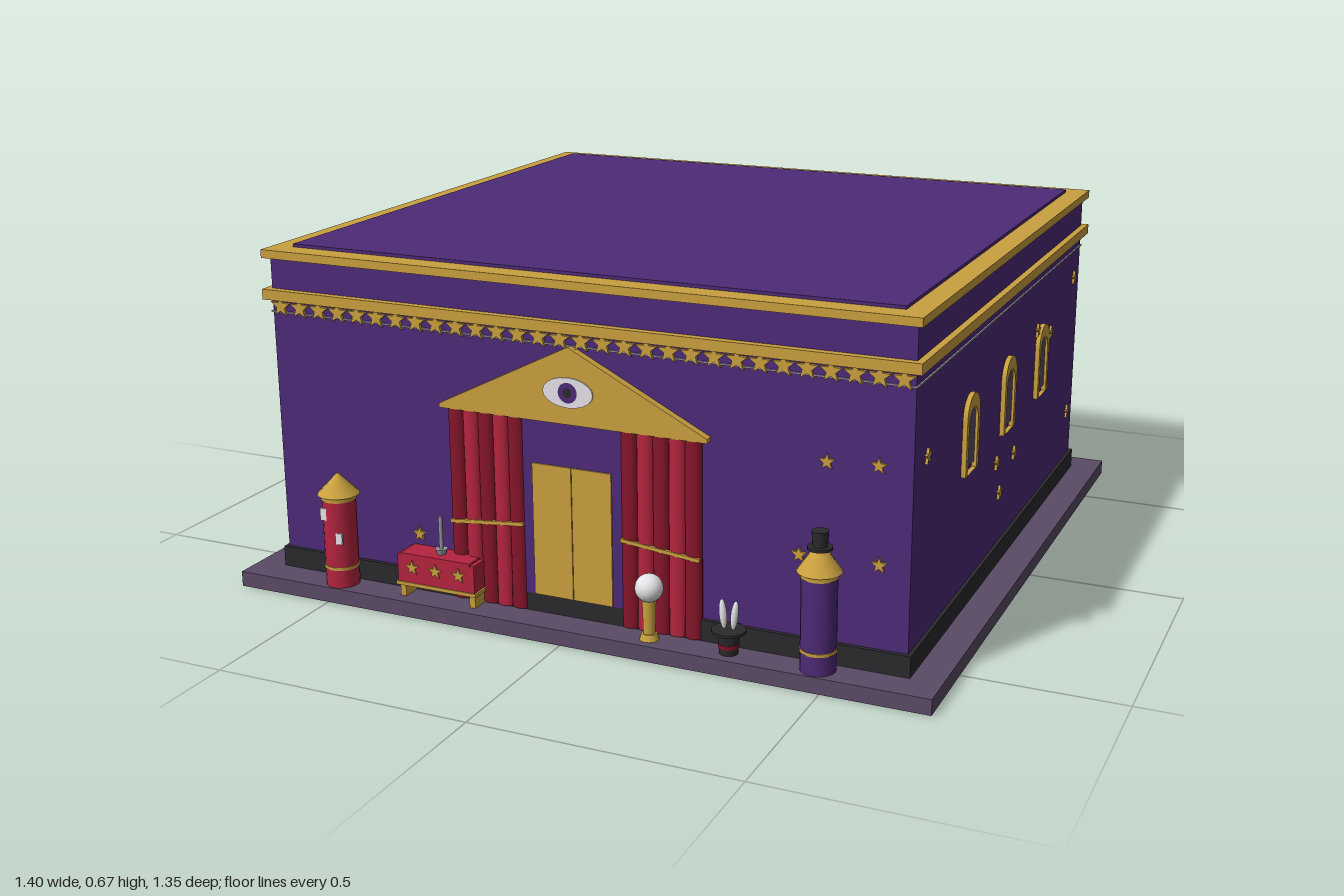
import * as THREE from 'three';

const mat = (name, color) => {
  const m = new THREE.MeshStandardMaterial({ color });
  m.name = name;
  return m;
};

export function createModel() {
  const purple = mat('purple', 0x4d2a76), gold = mat('gold', 0xc9a03f), stone = mat('stone', 0x5b4b66),
    black = mat('black', 0x2a2a2e), red = mat('red', 0xb5243f), darkRed = mat('dark red', 0x851529),
    white = mat('white', 0xe8e6ea), silver = mat('silver', 0x9c96a4);

  const root = new THREE.Group();
  root.name = 'magicTheatre';
  const group = (name, x = 0, y = 0, z = 0, parent = root) => {
    const g = new THREE.Group();
    g.name = name;
    g.position.set(x, y, z);
    parent.add(g);
    return g;
  };
  const add = (parent, name, geo, material, x = 0, y = 0, z = 0) => {
    const m = new THREE.Mesh(geo, material);
    m.name = name;
    m.position.set(x, y, z);
    parent.add(m);
    return m;
  };
  // box given by its size and its bottom height
  const box = (parent, name, material, w, h, d, x, y, z) =>
    add(parent, name, new THREE.BoxGeometry(w, h, d), material, x, y + h / 2, z);
  // round part given by its bottom height
  const tube = (parent, name, material, rTop, rBottom, y, h, x = 0, z = 0, sides = 20) =>
    add(parent, name, new THREE.CylinderGeometry(rTop, rBottom, h, sides), material, x, y + h / 2, z);
  const plate = (shape, depth) => new THREE.ExtrudeGeometry(shape, { depth, bevelEnabled: false, curveSegments: 10 });

  const starShape = r => {
    const pts = [];
    for (let i = 0; i < 10; i++) {
      const a = Math.PI / 2 + i * Math.PI / 5, k = i % 2 ? r * 0.42 : r;
      pts.push(new THREE.Vector2(Math.cos(a) * k, Math.sin(a) * k));
    }
    return new THREE.Shape(pts);
  };
  const archShape = (w, h, Type = THREE.Shape) => {
    const s = new Type();
    s.moveTo(-w / 2, 0);
    s.lineTo(w / 2, 0);
    s.lineTo(w / 2, h - w / 2);
    s.absarc(0, h - w / 2, w / 2, 0, Math.PI, false);
    s.lineTo(-w / 2, 0);
    return s;
  };

  // Building shell, stacked from the ground up
  box(root, 'baseSlab', stone, 1.4, 0.03, 1.34, 0, 0, 0);
  box(root, 'plinth', black, 1.284, 0.04, 1.216, 0, 0.03, 0);
  box(root, 'walls', purple, 1.27, 0.51, 1.2, 0, 0.06, 0);
  box(root, 'lightCord', silver, 1.276, 0.003, 1.206, 0, 0.544, 0);
  box(root, 'cornice', gold, 1.296, 0.02, 1.23, 0, 0.57, 0);
  box(root, 'attic', purple, 1.27, 0.065, 1.2, 0, 0.588, 0);
  box(root, 'roofRim', gold, 1.292, 0.016, 1.228, 0, 0.65, 0);
  box(root, 'roofPanel', purple, 1.208, 0.012, 1.14, 0, 0.66, 0);

  // Wall groups: local x runs to the right as seen from outside, local z points outwards
  const wall = (name, angle, dist) => {
    const g = group(name);
    g.rotation.y = angle;
    const f = group(name + 'Details', 0, 0, dist, g);
    return f;
  };
  const front = wall('frontWall', 0, 0.6);
  const left = wall('leftWall', Math.PI / 2, 0.635);
  const back = wall('backWall', Math.PI, 0.6);
  const right = wall('rightWall', -Math.PI / 2, 0.635);

  // Arched windows
  const frameShape = archShape(0.084, 0.15);
  frameShape.holes.push(archShape(0.058, 0.124, THREE.Path));
  const frameGeo = plate(frameShape, 0.009), paneGeo = plate(archShape(0.062, 0.128), 0.004);
  for (const side of [left, back, right]) {
    for (const x of [-0.267, 0, 0.267]) {
      const w = group('window', x, 0.295, 0, side);
      add(w, 'windowFrame', frameGeo, gold);
      add(w, 'windowPane', paneGeo, stone, 0, 0.011, 0);
    }
  }

  // Scattered wall stars
  const starGeo = plate(starShape(0.015), 0.005);
  const sideStars = [[-0.53, 0.405], [0.23, 0.44], [0.345, 0.408], [-0.06, 0.245],
    [0.075, 0.225], [-0.03, 0.175], [0.547, 0.483], [0.547, 0.177]];
  const frontStars = [[0.483, 0.397], [0.575, 0.402], [0.58, 0.225], [0.435, 0.222], [-0.33, 0.142], [-0.2, 0.19], [-0.09, 0.11]];
  for (const side of [left, back, right]) for (const [x, y] of sideStars) add(side, 'wallStar', starGeo, gold, x, y, 0);
  for (const [x, y] of frontStars) add(front, 'wallStar', starGeo, gold, x, y, 0);

  // Row of stars under the cornice
  const friezeGeo = plate(starShape(0.021), 0.006);
  for (const [side, half] of [[front, 0.615], [back, 0.615], [right, 0.58]]) {
    for (let i = 0; i < 30; i++) add(side, 'friezeStar', friezeGeo, gold, -half + i * half * 2 / 29, 0.557, 0);
  }

  // Entrance: door, curtains, pediment with an eye
  const entrance = group('entrance', 0, 0, 0, front);
  box(entrance, 'doorway', purple, 0.2, 0.345, 0.01, 0, 0.065, 0.004);
  for (const s of [-1, 1]) {
    box(entrance, 'doorLeaf', gold, 0.079, 0.255, 0.012, s * 0.0402, 0.066, 0.006);
    for (let i = 0; i < 5; i++) {
      const fold = tube(entrance, 'curtainFold', i % 2 ? red : darkRed, 0.0165, 0.0165, 0.032, 0.376, s * (0.114 + i * 0.031), 0.004, 12);
      fold.scale.z = 0.7;
    }
    const rope = box(entrance, 'curtainRope', gold, 0.155, 0.007, 0.006, s * 0.176, 0.189, 0.014);
    rope.rotation.z = -s * 0.1;
  }
  const gable = new THREE.Shape([[-0.268, 0], [0.268, 0], [0.268, 0.008], [0, 0.143], [-0.268, 0.008]]
    .map(p => new THREE.Vector2(...p)));
  add(entrance, 'pediment', plate(gable, 0.016), gold, 0, 0.404, 0);
  const eyeWhite = new THREE.Shape();
  eyeWhite.absellipse(0, 0, 0.05, 0.028, 0, Math.PI * 2, false, 0);
  add(entrance, 'eyeWhite', plate(eyeWhite, 0.004), white, 0, 0.464, 0.015);
  add(entrance, 'eyeIris', new THREE.CircleGeometry(0.019, 20), purple, 0, 0.464, 0.0195);
  add(entrance, 'eyePupil', new THREE.CircleGeometry(0.009, 16), black, 0, 0.464, 0.0203);

  // Round booths at both ends of the front
  const booth = (name, x, material) => {
    const g = group(name, x, 0.03, 0.635);
    tube(g, 'boothBody', material, 0.032, 0.032, 0, 0.185);
    tube(g, 'lowerBand', gold, 0.0335, 0.0335, 0.036, 0.006);
    tube(g, 'upperBand', gold, 0.0335, 0.0335, 0.172, 0.008);
    return g;
  };
  const redBooth = booth('redBooth', -0.487, red);
  tube(redBooth, 'boothRoof', gold, 0.002, 0.04, 0.182, 0.04);
  box(redBooth, 'poster', white, 0.014, 0.024, 0.004, -0.016, 0.134, 0.0285);
  box(redBooth, 'poster', white, 0.014, 0.022, 0.004, 0.016, 0.09, 0.0285);
  const purpleBooth = booth('purpleBooth', 0.485, purple);
  tube(purpleBooth, 'boothRoof', gold, 0.012, 0.04, 0.182, 0.04);
  tube(purpleBooth, 'hatBrim', black, 0.022, 0.022, 0.222, 0.005);
  tube(purpleBooth, 'hatCrown', black, 0.015, 0.013, 0.227, 0.028);

  // Conjuring table
  const table = group('conjuringTable', -0.27, 0.03, 0.625);
  box(table, 'tableCloth', red, 0.165, 0.055, 0.048, 0, 0.03, 0);
  box(table, 'tableTop', red, 0.148, 0.006, 0.05, 0, 0.083, 0);
  box(table, 'tableRail', gold, 0.172, 0.007, 0.052, 0, 0.024, 0);
  for (const x of [-0.075, 0.075]) box(table, 'tableLeg', gold, 0.012, 0.025, 0.04, x, 0, 0);
  for (const x of [-0.05, 0, 0.05]) add(table, 'tableStar', starGeo, gold, x, 0.062, 0.022);
  tube(table, 'wand', silver, 0.004, 0.004, 0.088, 0.075, 0, 0, 10);
  tube(table, 'cup', silver, 0.012, 0.008, 0.088, 0.012, 0, 0, 12);

  // Crystal ball on a pedestal
  const crystal = group('crystalBall', 0.165, 0.03, 0.637);
  tube(crystal, 'pedestalFoot', gold, 0.014, 0.018, 0, 0.012);
  tube(crystal, 'pedestal', gold, 0.013, 0.011, 0.012, 0.066);
  add(crystal, 'ball', new THREE.SphereGeometry(0.026, 20, 14), white, 0, 0.098, 0);

  // Top hat with a pair of rabbit ears
  const hat = group('rabbitHat', 0.318, 0.03, 0.635);
  tube(hat, 'hatCrown', black, 0.02, 0.017, 0, 0.04);
  tube(hat, 'hatBand', darkRed, 0.0195, 0.019, 0.012, 0.008);
  tube(hat, 'hatBrim', black, 0.031, 0.031, 0.04, 0.005);
  for (const s of [-1, 1]) {
    const ear = add(hat, 'rabbitEar', new THREE.SphereGeometry(0.007, 12, 10), white, s * 0.011, 0.072, 0);
    ear.scale.y = 4;
    ear.rotation.z = -s * 0.1;
  }
  return root;
}
